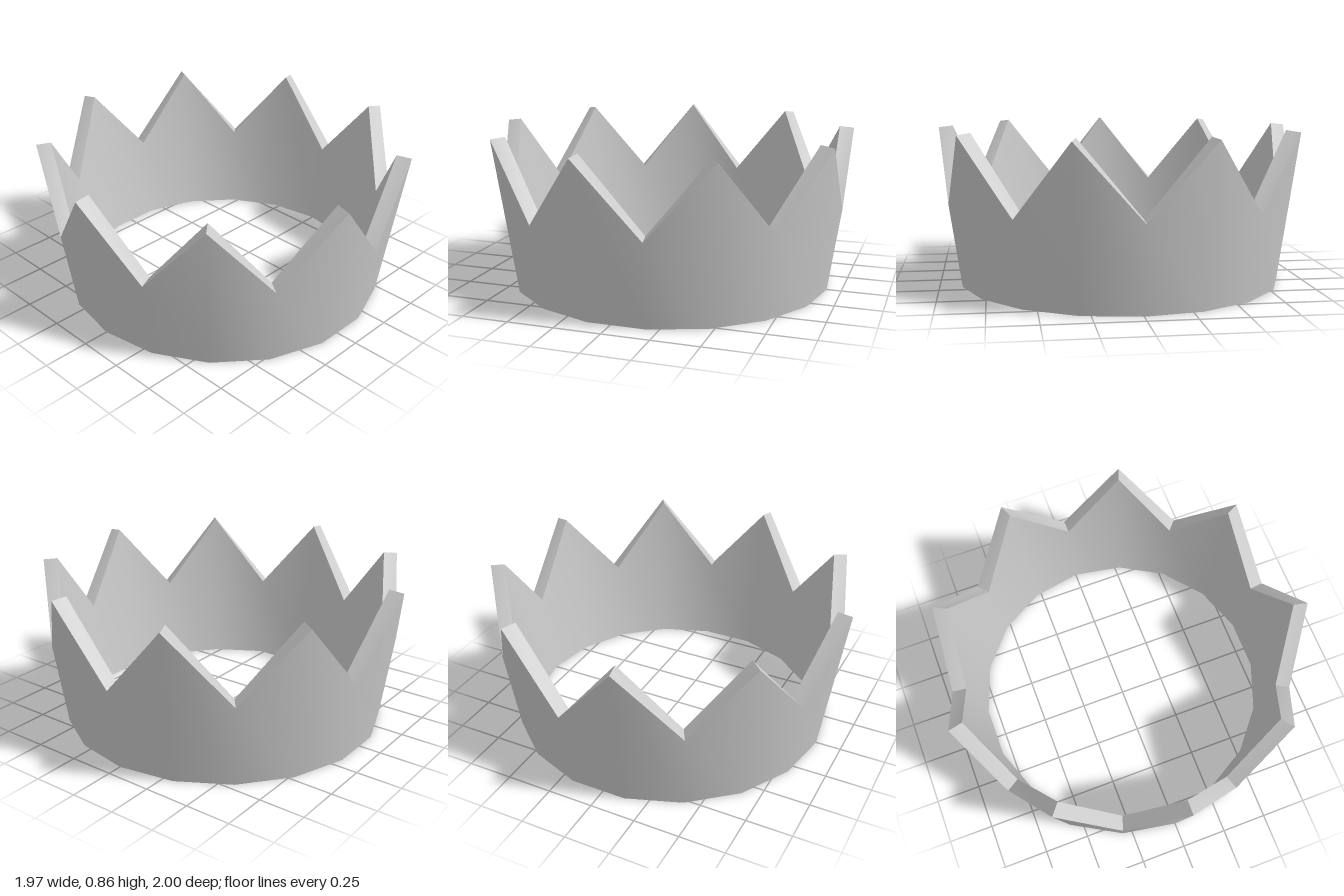
import * as THREE from 'three';
import { toCreasedNormals } from 'three/addons/utils/BufferGeometryUtils.js';

const POINTS = 9;
const CENTRE_X = 0.03;

// Cross-sections of the flared wall as [radius, height]:
// bottom outside, top outside, top inside, bottom inside
const PEAK = [[0.89, 0], [1.0154, 0.845], [0.936, 0.855], [0.815, 0]];
const VALLEY = [[0.89, 0], [0.956, 0.455], [0.878, 0.465], [0.815, 0]];

function createBand() {
  const columns = POINTS * 2;
  const positions = [];
  const indices = [];

  // Peaks and valleys alternate around the ring
  for (let i = 0; i < columns; i++) {
    const angle = Math.PI + (i / columns) * Math.PI * 2;
    for (const [r, y] of i % 2 ? VALLEY : PEAK) {
      positions.push(CENTRE_X + r * Math.cos(angle), y, r * Math.sin(angle));
    }
  }

  // Join neighbouring cross-sections: outer wall, rim, inner wall, underside
  for (let i = 0; i < columns; i++) {
    const a = i * 4;
    const b = ((i + 1) % columns) * 4;
    for (let k = 0; k < 4; k++) {
      const n = (k + 1) % 4;
      indices.push(a + k, a + n, b + n, a + k, b + n, b + k);
    }
  }

  const geometry = new THREE.BufferGeometry();
  geometry.setAttribute('position', new THREE.Float32BufferAttribute(positions, 3));
  geometry.setIndex(indices);
  return toCreasedNormals(geometry, Math.PI / 6);
}

export function createModel() {
  const group = new THREE.Group();
  group.name = 'crown';

  // Pointed band
  const band = new THREE.Mesh(
    createBand(),
    new THREE.MeshStandardMaterial({ color: 0xcccccc })
  );
  band.name = 'crownBand';
  group.add(band);

  return group;
}
